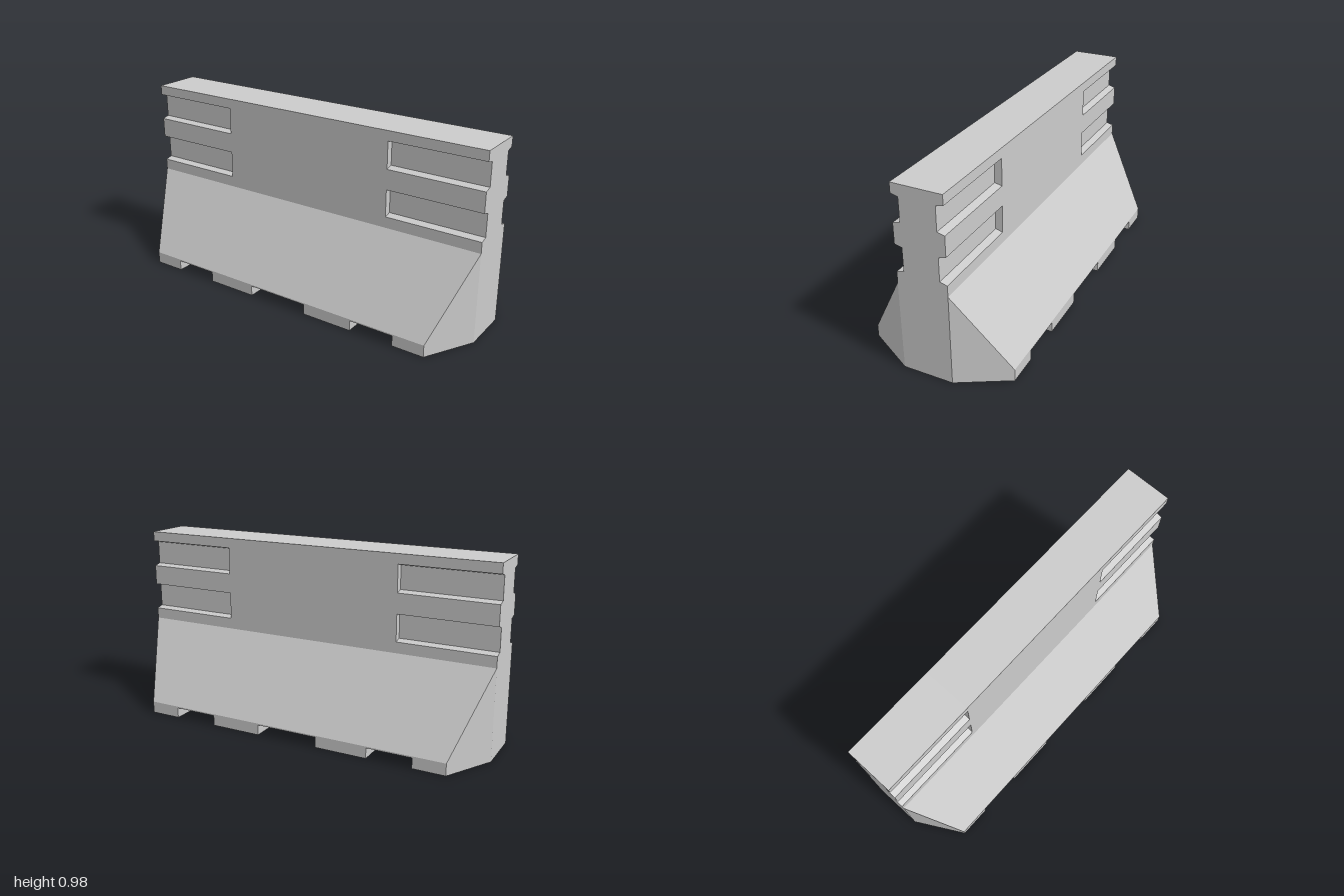
import * as THREE from 'three';

const material = new THREE.MeshStandardMaterial({ color: 0xcccccc, flatShading: true });
const WALL = 0.13, BASE = 0.38, END = 0.86;      // half widths and length of the base edge
const SLOT = 0.055, LIP = 0.063, NECK = 0.475, TOP = 0.975;
const RECESS = 0.49;                             // inner end of the side recesses

const extrude = (points, depth) => new THREE.ExtrudeGeometry(
  new THREE.Shape(points.map(p => new THREE.Vector2(...p))), { depth, bevelEnabled: false });

function add(group, name, geometry) {
  const mesh = new THREE.Mesh(geometry, material);
  mesh.name = name;
  group.add(mesh);
}

// Extrudes a (z, y) profile along x
const alongX = (points, x0, x1) =>
  extrude(points, x1 - x0).rotateY(Math.PI / 2).translate(x0, 0, 0);

// Flared skirt: octagonal rings narrowing to the wall's footprint
function skirtGeometry() {
  const ring = (y, x, z) => [
    [1, y, WALL], [1, y, -WALL], [x, y, -z], [-x, y, -z],
    [-1, y, -WALL], [-1, y, WALL], [-x, y, z], [x, y, z]];
  const rings = [ring(SLOT, END, BASE), ring(LIP, END, BASE), ring(NECK, 1, WALL)];
  const pos = [];
  const tri = (...corners) => corners.forEach(c => pos.push(...c));
  for (let r = 0; r < 2; r++) {
    for (let i = 0; i < 8; i++) {
      const j = (i + 1) % 8, lo = rings[r], hi = rings[r + 1];
      tri(lo[i], lo[j], hi[j]);
      tri(lo[i], hi[j], hi[i]);
    }
  }
  for (let i = 1; i < 7; i++) tri(rings[0][0], rings[0][i + 1], rings[0][i]);
  const geometry = new THREE.BufferGeometry();
  geometry.setAttribute('position', new THREE.Float32BufferAttribute(pos, 3));
  geometry.computeVertexNormals();
  return geometry;
}

export function createModel() {
  const group = new THREE.Group();
  group.name = 'roadBarrier';

  add(group, 'skirt', skirtGeometry());

  // Upper wall: plain middle, grooved ends
  add(group, 'wallMiddle', alongX(
    [[-WALL, NECK], [WALL, NECK], [WALL, TOP], [-WALL, TOP]], -RECESS, RECESS));
  const side = [[WALL, NECK]];
  for (const [low, high] of [[0.533, 0.675], [0.781, 0.923]]) {
    side.push([WALL, low], [0.092, low + 0.01], [0.092, high - 0.01], [WALL, high]);
  }
  side.push([WALL, TOP]);
  const grooved = [...side, ...side.map(([z, y]) => [-z, y]).reverse()];
  add(group, 'wallEndLeft', alongX(grooved, RECESS, 1));
  add(group, 'wallEndRight', alongX(grooved, -1, -RECESS));

  // Feet between the drainage and forklift slots
  for (const s of [1, -1]) {
    const label = s > 0 ? 'Left' : 'Right';
    const feet = {
      innerFoot: [[0.17, -BASE], [0.45, -BASE], [0.45, BASE], [0.17, BASE]],
      outerFoot: [[0.69, -BASE], [END, -BASE], [1, -WALL], [1, WALL], [END, BASE], [0.69, BASE]],
    };
    for (const [name, points] of Object.entries(feet)) {
      add(group, name + label,
        extrude(points.map(([x, z]) => [s * x, z]), SLOT).rotateX(-Math.PI / 2));
    }
  }

  // End faces of the base below the neck are closed by the skirt and outer feet
  return group;
}
